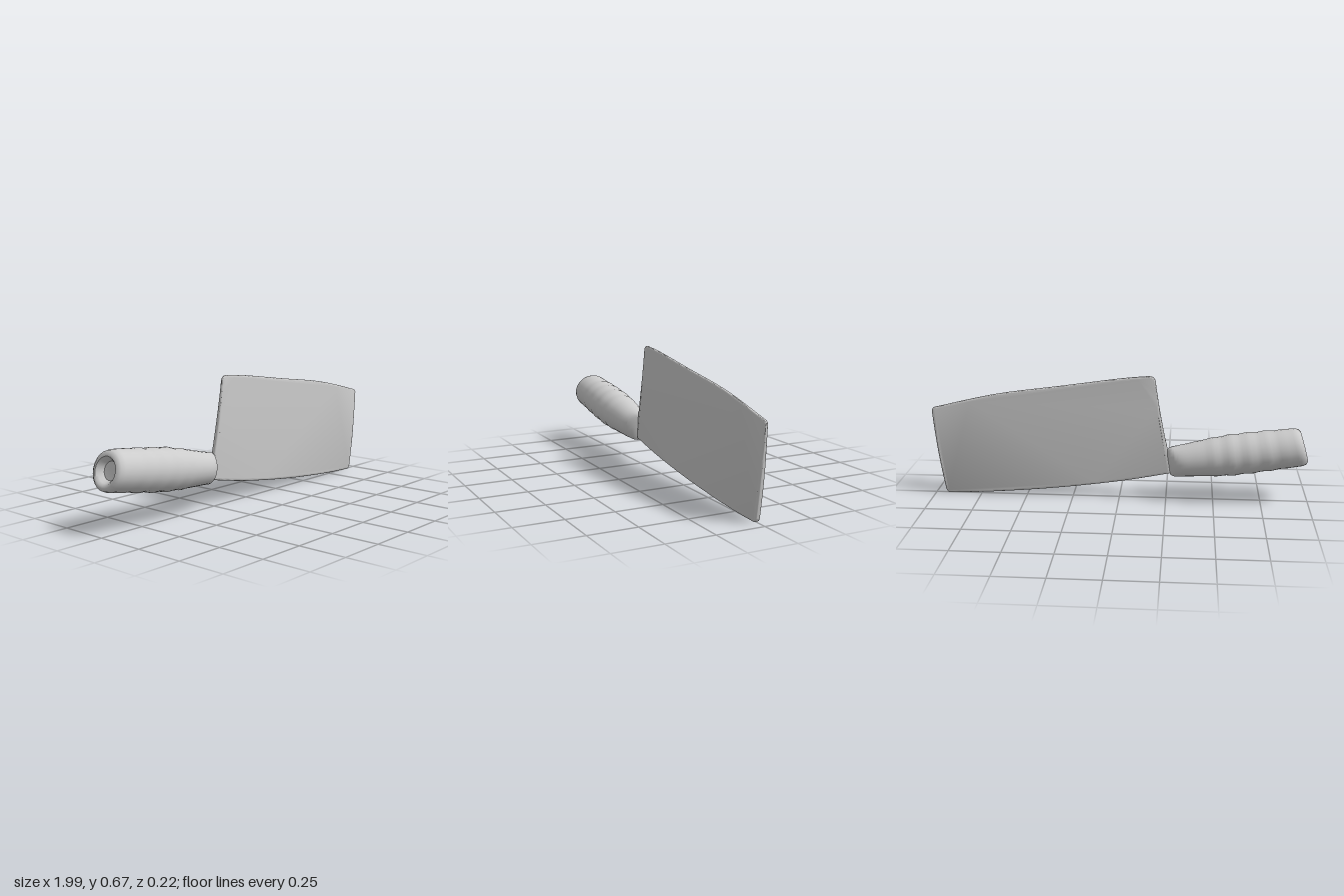
import * as THREE from 'three';
import { toCreasedNormals } from 'three/addons/utils/BufferGeometryUtils.js';

const material = new THREE.MeshStandardMaterial({ color: 0xcccccc });

function part(name, geometry, crease) {
  const mesh = new THREE.Mesh(toCreasedNormals(geometry, crease), material);
  mesh.name = name;
  return mesh;
}

// Apply a rule to every vertex
function reshape(geometry, rule) {
  const p = geometry.attributes.position;
  const v = new THREE.Vector3();
  for (let i = 0; i < p.count; i++) {
    rule(v.fromBufferAttribute(p, i));
    p.setXYZ(i, v.x, v.y, v.z);
  }
  geometry.computeVertexNormals();
  return geometry;
}

// Wide blade with rounded rim, thinning towards the spine
function makeBlade() {
  const s = new THREE.Shape();
  s.moveTo(-0.27, 0.145);
  s.splineThru([[0, 0.093], [0.35, 0.045], [0.7, 0.013], [0.92, 0.003]].map(p => new THREE.Vector2(...p)));
  s.quadraticCurveTo(0.942, 0.003, 0.946, 0.025);
  s.quadraticCurveTo(0.985, 0.24, 1.0, 0.465);
  s.quadraticCurveTo(0.998, 0.482, 0.975, 0.486);
  s.splineThru([[0.65, 0.562], [0.3, 0.613], [0, 0.657], [-0.155, 0.673]].map(p => new THREE.Vector2(...p)));
  s.quadraticCurveTo(-0.183, 0.672, -0.188, 0.645);
  s.quadraticCurveTo(-0.215, 0.45, -0.255, 0.28);
  s.lineTo(-0.27, 0.145);
  const g = new THREE.ExtrudeGeometry(s, {
    depth: 0.012, bevelThickness: 0.008, bevelSize: 0.012, bevelOffset: -0.012,
    bevelSegments: 3, curveSegments: 8,
  });
  g.translate(0, 0, -0.006);
  return reshape(g, v => {
    const height = v.y + 0.16 * v.x;
    v.z *= 1 - 0.45 * THREE.MathUtils.smoothstep(height, 0.3, 0.66);
    v.z += 0.001;
  });
}

// Turned handle: dished butt, finger ridges, wedge-shaped front
function makeHandle() {
  const L = 0.715;
  const profile = [[0, 0.04], [0.045, 0.036], [0.058, 0.012], [0.068, 0.001], [0.08, 0.001], [0.095, 0.012]];
  const body = new THREE.SplineCurve([
    [0.101, 0.035], [0.104, 0.15], [0.108, 0.3], [0.106, 0.42], [0.095, 0.54], [0.085, 0.64], [0.083, 0.685],
  ].map(p => new THREE.Vector2(...p)));
  for (const p of body.getPoints(36)) {
    const fade = THREE.MathUtils.smoothstep(p.y, 0.06, 0.16) * (1 - THREE.MathUtils.smoothstep(p.y, 0.45, 0.55));
    profile.push([p.x + 0.0025 * fade * Math.cos(p.y * Math.PI * 2 / 0.095), p.y]);
  }
  profile.push([0.079, 0.703], [0.07, L], [0, L]);
  const g = new THREE.LatheGeometry(profile.map(p => new THREE.Vector2(...p)), 24);
  g.rotateZ(-Math.PI / 2);
  reshape(g, v => {
    const t = THREE.MathUtils.clamp((v.x - 0.6) / (L - 0.6), 0, 1);
    v.z *= Math.max(0.2, Math.sqrt(1 - t * t * t));
    v.x += 0.13 * v.y * Math.max(0, 1 - v.x / 0.3); // slanted butt
  });
  g.rotateZ(-0.148);
  g.translate(-0.969, 0.311, 0);
  return g;
}

export function createModel() {
  const group = new THREE.Group();
  group.name = 'cleaver';
  group.add(part('blade', makeBlade(), 0.7), part('handle', makeHandle(), 0.8));
  return group;
}
